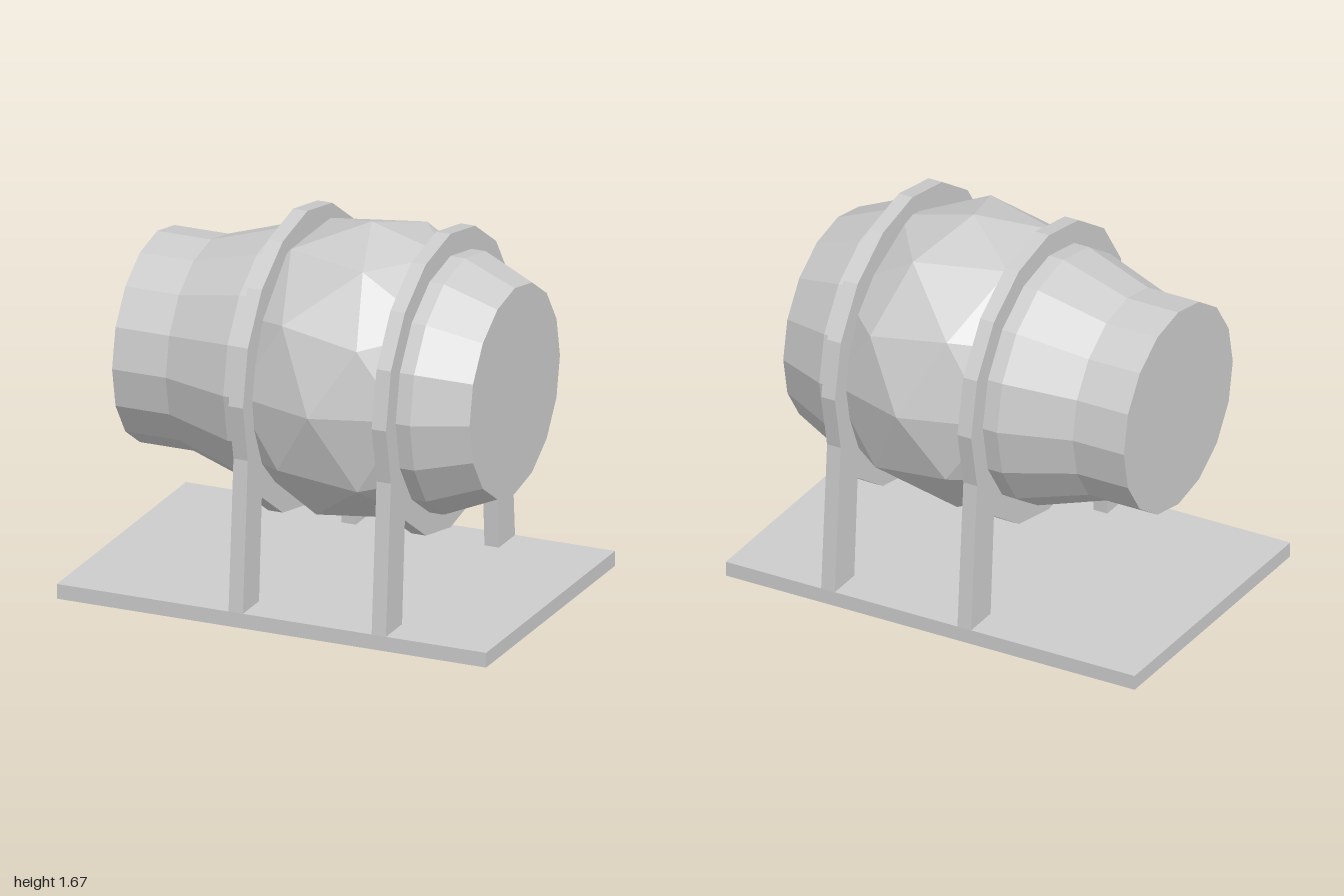
import * as THREE from 'three';

const R = 2 / 3;          // outer radius of frames and belly
const AXIS_Y = 1;         // height of the drum axis
const BELLY_X = 1 / 6;    // middle of the belly
const BASE_H = 0.067;
const SIDES = 16;

const material = new THREE.MeshStandardMaterial({ color: 0xcccccc, flatShading: true });

function addPart(group, name, geometry) {
  const mesh = new THREE.Mesh(geometry, material);
  mesh.name = name;
  group.add(mesh);
  return mesh;
}

// Faceted drum section around the x axis; profile is [x, radius] with growing x
function drumSection(profile) {
  const points = profile.map(([x, r]) => new THREE.Vector2(r, x));
  return new THREE.LatheGeometry(points, SIDES).rotateZ(-Math.PI / 2);
}

// Outline of a round plate standing on two splayed legs
function frameGeometry(thickness) {
  const rim = (i) => {
    const a = (i * Math.PI * 2) / SIDES;
    return new THREE.Vector2(R * Math.cos(a), AXIS_Y + R * Math.sin(a));
  };
  const outline = [];
  for (let i = -1; i <= 9; i++) outline.push(rim(i));
  outline.push(new THREE.Vector2(-R, BASE_H), new THREE.Vector2(-0.5, BASE_H));
  for (let i = 10; i <= 14; i++) outline.push(rim(i));
  outline.push(new THREE.Vector2(0.5, BASE_H), new THREE.Vector2(R, BASE_H));
  return new THREE.ExtrudeGeometry(new THREE.Shape(outline), { depth: thickness, bevelEnabled: false })
    .translate(0, 0, -thickness / 2)
    .rotateY(Math.PI / 2);
}

export function createModel() {
  const model = new THREE.Group();
  model.name = 'drumOnStand';

  // Base plate
  addPart(model, 'basePlate', new THREE.BoxGeometry(2, BASE_H, 2 * R)).position.y = BASE_H / 2;

  // Two frames with legs, either side of the belly
  const frame = frameGeometry(0.067);
  addPart(model, 'rightFrame', frame).position.x = BELLY_X - 1 / 3;
  addPart(model, 'leftFrame', frame).position.x = BELLY_X + 1 / 3;

  // Faceted belly, turned so that a corner points straight up
  const belly = new THREE.IcosahedronGeometry(R, 1).rotateZ(-Math.atan(2 / (1 + Math.sqrt(5))));
  addPart(model, 'belly', belly).position.set(BELLY_X, AXIS_Y, 0);

  // Long neck and short tail, both closed at the outer end
  const neck = drumSection([[-0.833, 0], [-0.833, 0.467], [-0.583, 0.467], [-0.27, 0.567], [-0.167, 0.567], [-0.167, 0]]);
  addPart(model, 'neck', neck).position.y = AXIS_Y;
  const tail = drumSection([[0.5, 0], [0.5, 0.567], [0.6, 0.567], [0.833, 0.467], [0.833, 0]]);
  addPart(model, 'tail', tail).position.y = AXIS_Y;

  return model;
}
